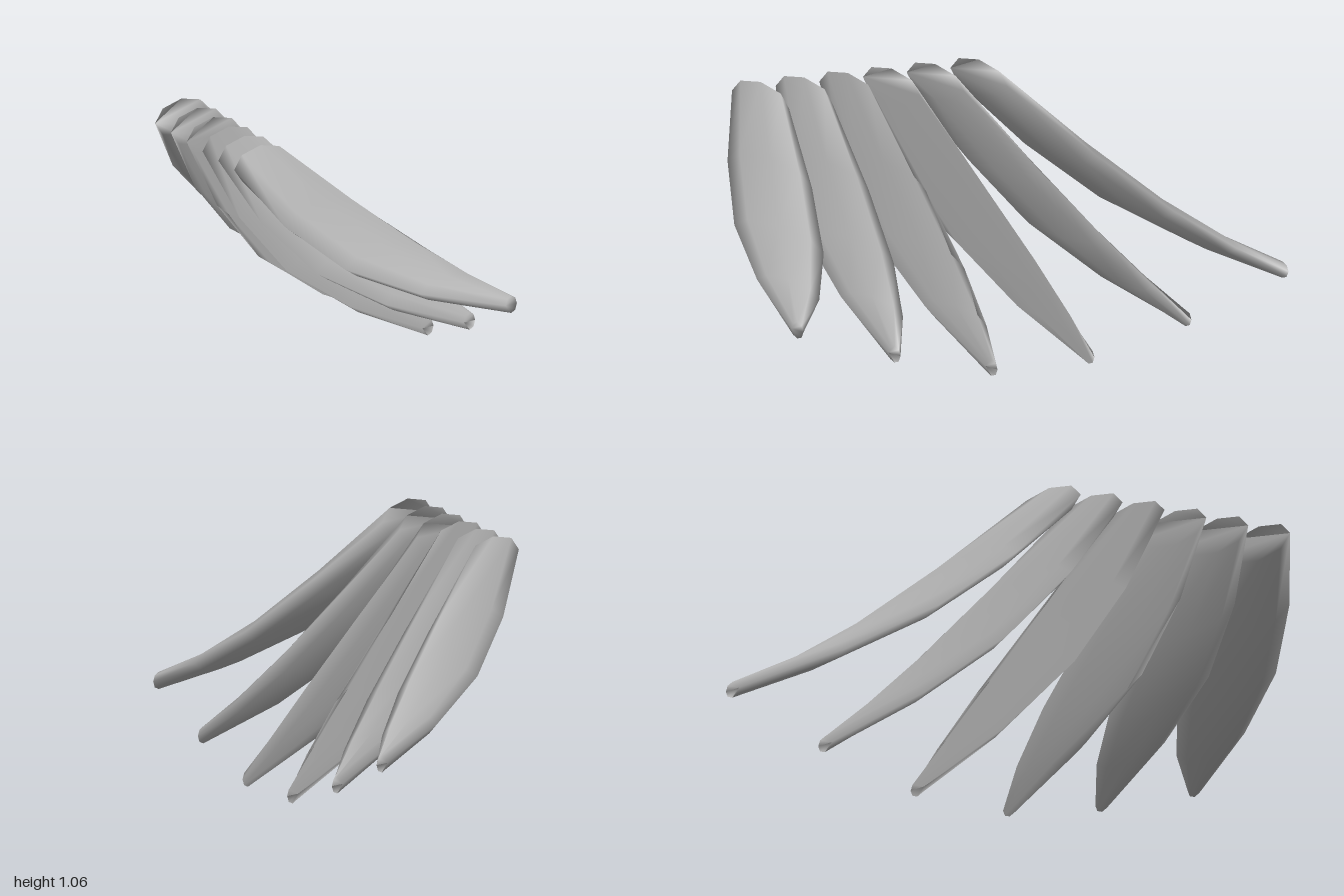
import * as THREE from 'three';

const ROWS = 4, SIDES = 8;

// One blade: a flattened eight-sided tube whose sections stand across x,
// widest in the middle, sagging between root and tip, capped at both ends.
function bladeGeometry(root, tip) {
  const positions = [], index = [];
  const turn = tip.x > root.x ? -1 : 1; // keeps faces outward for both sweep directions
  for (let i = 0; i <= ROWS; i++) {
    const t = i / ROWS, bulge = Math.sin(Math.PI * t);
    const c = root.clone().lerp(tip, t);
    c.y -= 0.11 * bulge;
    const halfWidth = THREE.MathUtils.lerp(0.17, 0.036, t) + 0.163 * bulge;
    const halfHeight = THREE.MathUtils.lerp(0.08, 0.037, t);
    for (let j = 0; j < SIDES; j++) {
      const a = turn * j / SIDES * Math.PI * 2;
      positions.push(c.x, c.y + halfHeight * Math.sin(a), c.z + halfWidth * Math.cos(a));
    }
  }
  // side faces
  for (let i = 0; i < ROWS; i++) {
    for (let j = 0; j < SIDES; j++) {
      const k = (j + 1) % SIDES;
      const a = i * SIDES + j, b = i * SIDES + k, c = a + SIDES, d = b + SIDES;
      index.push(a, b, d, a, d, c);
    }
  }
  // end caps share the ring vertices, so the ends shade softly
  const end = ROWS * SIDES;
  for (let j = 1; j < SIDES - 1; j++) {
    index.push(0, j + 1, j, end, end + j, end + j + 1);
  }
  const geometry = new THREE.BufferGeometry();
  geometry.setAttribute('position', new THREE.Float32BufferAttribute(positions, 3));
  geometry.setIndex(index);
  geometry.computeVertexNormals();
  return geometry;
}

export function createModel() {
  const group = new THREE.Group();
  group.name = 'bladeFan';
  const grey = new THREE.MeshStandardMaterial({ color: 0xb4b4b4 });
  grey.name = 'grey';

  // Six blades fanning out from a slanted row of roots
  const tipHeights = [0.318, 0.155, 0.04, 0.04, 0.155, 0.318];
  tipHeights.forEach((tipY, i) => {
    const root = new THREE.Vector3(0.34 - 0.171 * i, 0.98, 0.83 - 0.0925 * i);
    const tip = new THREE.Vector3(1 - 0.4 * i, tipY, -0.035 - 0.186 * i);
    const blade = new THREE.Mesh(bladeGeometry(root, tip), grey);
    blade.name = 'blade' + (i + 1);
    group.add(blade);
  });
  return group;
}
